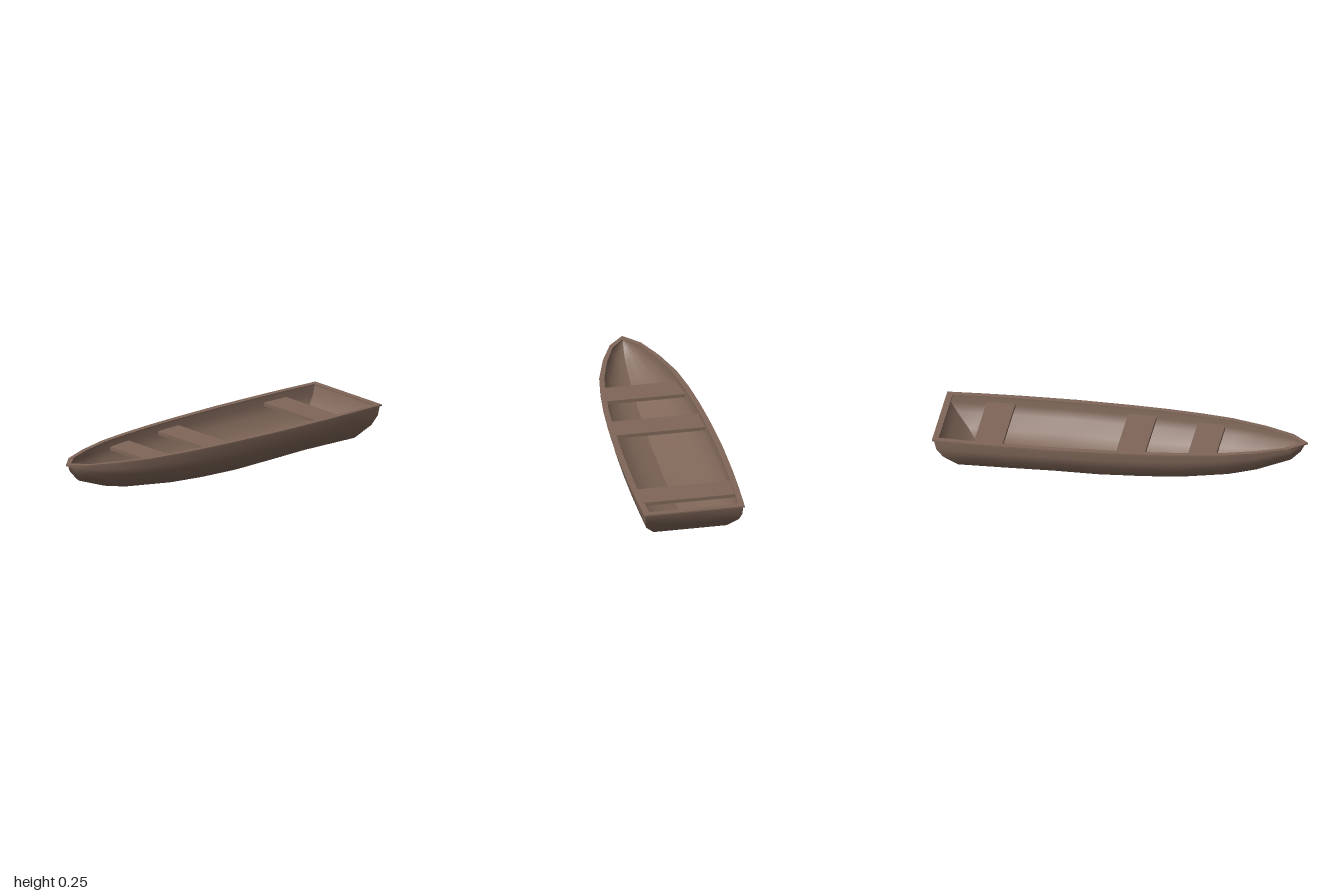
import * as THREE from 'three';

// Hull stations, bow to stern: x, half beam at the top edge, keel height
const STATIONS = [
  [-0.985, 0.0, 0.25], [-0.96, 0.028, 0.2], [-0.91, 0.072, 0.15], [-0.73, 0.148, 0.085],
  [-0.58, 0.192, 0.05], [-0.34, 0.232, 0.02], [-0.13, 0.253, 0.008], [0.1, 0.267, 0.003],
  [0.35, 0.275, 0.011], [0.6, 0.276, 0.027], [0.8, 0.273, 0.038], [0.99, 0.268, 0.046],
];
// Cross-section rows from keel to top edge, as fractions of half beam and height
const WIDTH = [0, 0.2, 0.435, 0.745, 0.945, 0.99, 1];
const MID_RISE = [0, 0.058, 0.13, 0.31, 0.59, 0.79, 1];
const STERN_RISE = [0, 0.012, 0.05, 0.155, 0.5, 0.74, 1];
const TOP = 0.25;
// Raked stern: height, x
const STERN = [[0.046, 0.8], [0.08, 0.875], [0.15, 0.945], [0.2, 0.98], [0.25, 0.99]];

const lerp = THREE.MathUtils.lerp;

// Reads column c of a table at key v
function sample(table, v, c) {
  if (v <= table[0][0]) return table[0][c];
  for (let i = 1; i < table.length; i++) {
    const a = table[i - 1], b = table[i];
    if (v <= b[0]) return lerp(a[c], b[c], (v - a[0]) / (b[0] - a[0]));
  }
  return table[table.length - 1][c];
}

// One section of the hull; the last stations lean back to meet the stern curve
function section([x, beam, keel]) {
  const aft = THREE.MathUtils.clamp((x - 0.35) / 0.64, 0, 1);
  return WIDTH.map((w, j) => {
    const end = lerp(0.046, TOP, STERN_RISE[j]);
    const y = lerp(keel, TOP, lerp(MID_RISE[j], STERN_RISE[j], aft));
    const px = x > 0.6 ? lerp(0.6, sample(STERN, end, 1), (x - 0.6) / 0.39) : x;
    return [px, y, beam * w];
  });
}

// Surface through rows of points; flip turns the faces round
function loft(rows, flip) {
  const n = rows[0].length, index = [];
  for (let i = 0; i < rows.length - 1; i++) {
    for (let j = 0; j < n - 1; j++) {
      const a = i * n + j, b = a + 1, c = a + n, d = c + 1;
      if (flip) index.push(a, b, c, b, d, c);
      else index.push(a, c, b, b, c, d);
    }
  }
  const geo = new THREE.BufferGeometry();
  geo.setAttribute('position', new THREE.Float32BufferAttribute(rows.flat(2), 3));
  geo.setIndex(index);
  geo.computeVertexNormals();
  return geo;
}

// Flat board cut from a plan outline, lying with its top at the given height
function board(shape, top, depth) {
  const geo = new THREE.ExtrudeGeometry(shape, { depth, bevelEnabled: false });
  geo.rotateX(Math.PI / 2);
  geo.translate(0, top, 0);
  return geo;
}

// Closed symmetric outline from points along one side, bow to stern
function outline(side) {
  const other = side.filter((p) => p[1] > 0).reverse().map(([x, z]) => [x, -z]);
  return [...side, ...other].map(([x, z]) => new THREE.Vector2(x, z));
}

export function createModel() {
  const boat = new THREE.Group();
  boat.name = 'rowingBoat';
  const wood = new THREE.MeshStandardMaterial({ color: 0x806759, side: THREE.DoubleSide });
  wood.name = 'brown wood';
  const add = (name, geo) => {
    const mesh = new THREE.Mesh(geo, wood);
    mesh.name = name;
    boat.add(mesh);
  };

  // Two hull halves, meeting in a sharp keel
  const rows = STATIONS.map(section);
  for (const side of [1, -1]) {
    const half = rows.map((r) => r.map(([x, y, z]) => [x, y, z * side]));
    add(side > 0 ? 'hullFrontSide' : 'hullBackSide', loft(half, side < 0));
  }

  // Curved stern panel
  const sternRows = rows[rows.length - 1].map(([x, y, z]) => [[x, y, z], [x, y, 0], [x, y, -z]]);
  add('sternPanel', loft(sternRows, true));

  // Flat rim around the top
  const rim = new THREE.Shape(outline([
    [-1, 0], [-0.91, 0.085], [-0.75, 0.155], [-0.56, 0.212], [-0.38, 0.241], [-0.2, 0.261],
    [0, 0.275], [0.3, 0.288], [0.6, 0.288], [0.8, 0.283], [1, 0.274],
  ]));
  rim.holes.push(new THREE.Path(outline([
    [-0.965, 0], [-0.88, 0.075], [-0.73, 0.135], [-0.56, 0.184], [-0.38, 0.211], [-0.2, 0.231],
    [0, 0.244], [0.3, 0.254], [0.6, 0.255], [0.8, 0.252], [0.967, 0.243],
  ])));
  add('rim', board(rim, 0.256, 0.008));

  // Three bench seats, tapered to the hull
  const seats = { bowSeat: [-0.52, -0.37], middleSeat: [-0.14, 0.015], sternSeat: [0.63, 0.785] };
  for (const [name, ends] of Object.entries(seats)) {
    const side = ends.map((x) => [x, sample(STATIONS, x, 1) * 0.965]);
    add(name, board(new THREE.Shape(outline(side)), 0.215, 0.02));
  }
  return boat;
}
